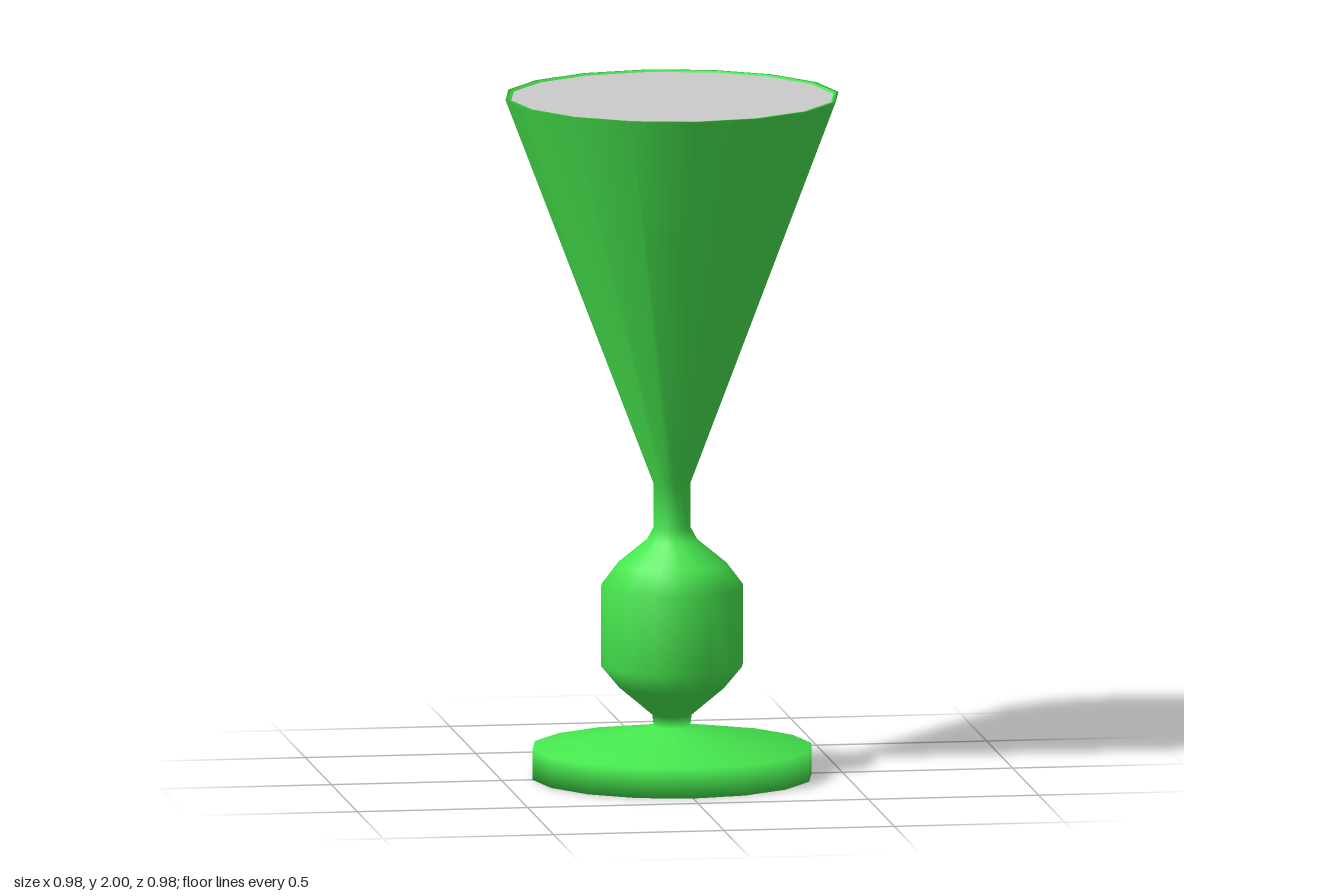
import * as THREE from 'three';

const SIDES = 16;

export function createModel() {
  const model = new THREE.Group();
  model.name = 'goblet';

  const glass = new THREE.MeshStandardMaterial({ color: 0x46e64e });
  const grey = new THREE.MeshStandardMaterial({ color: 0xcccccc });

  // Closed foot, round knop, thin stem, conical bowl and narrow flat rim in one smooth skin
  const profile = [
    [0, 0], [0.41, 0], [0.41, 0.088],
    [0.054, 0.148], [0.058, 0.183],
    [0.155, 0.265], [0.209, 0.33], [0.209, 0.56], [0.16, 0.625],
    [0.075, 0.695], [0.054, 0.732],
    [0.054, 0.862], [0.489, 2], [0.475, 2], [0.471, 1.99],
  ].map(([r, y]) => new THREE.Vector2(r, y));
  const body = new THREE.Mesh(new THREE.LatheGeometry(profile, SIDES), glass);
  body.name = 'gobletBody';
  model.add(body);

  // Flat drink surface filling the bowl almost to the rim
  const drink = new THREE.Mesh(new THREE.CircleGeometry(0.474, SIDES), grey);
  drink.name = 'drinkSurface';
  drink.rotation.x = -Math.PI / 2;
  drink.position.y = 1.995;
  model.add(drink);

  return model;
}
